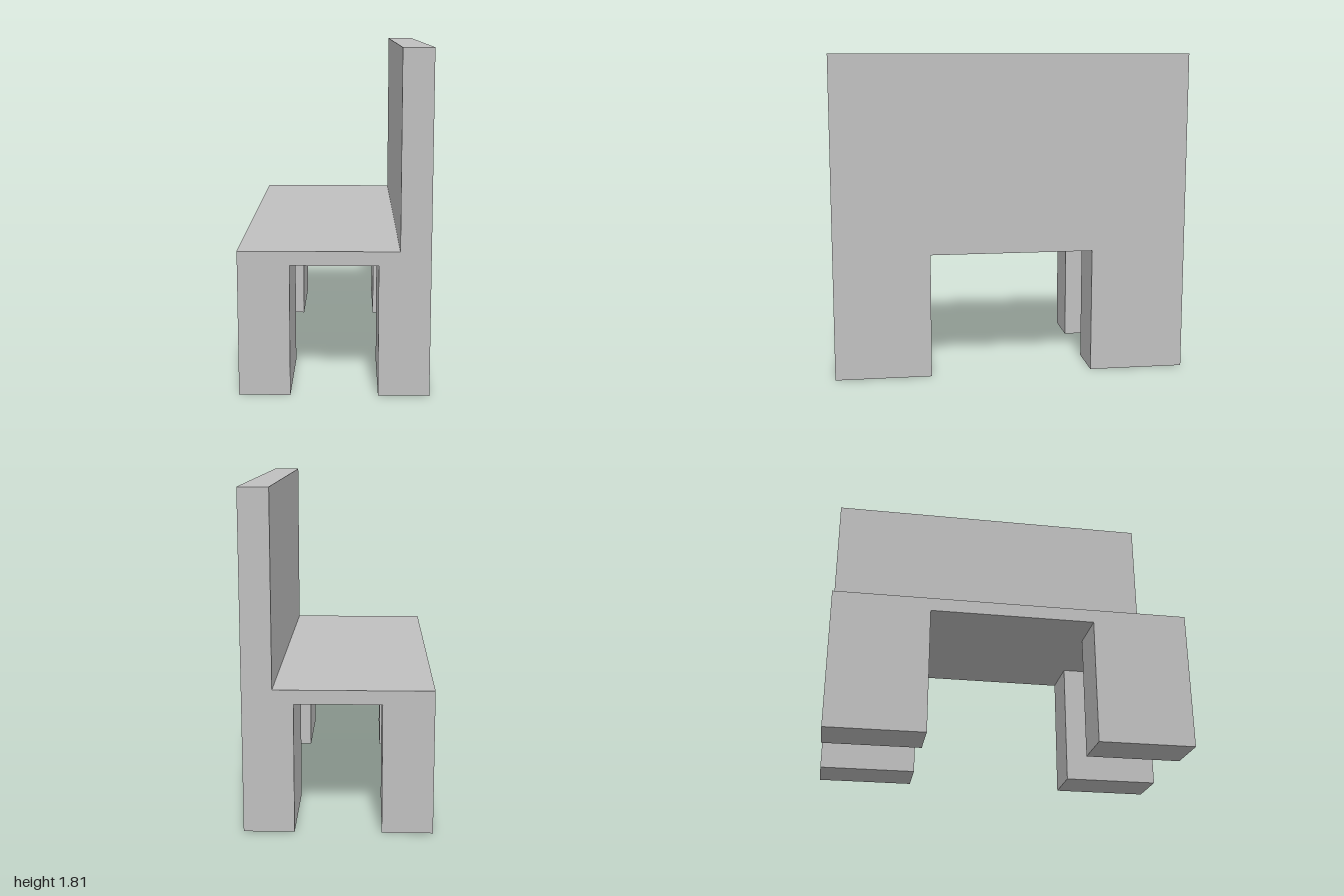
import * as THREE from 'three';

export function createModel() {
  const group = new THREE.Group();
  group.name = 'bench';
  const grey = new THREE.MeshStandardMaterial({ color: 0xc0c0c0 });
  grey.name = 'light grey';

  // Box given by its lower and upper corners
  function block(name, [x0, y0, z0], [x1, y1, z1]) {
    const mesh = new THREE.Mesh(new THREE.BoxGeometry(x1 - x0, y1 - y0, z1 - z0), grey);
    mesh.position.set((x0 + x1) / 2, (y0 + y1) / 2, (z0 + z1) / 2);
    mesh.name = name;
    group.add(mesh);
  }

  const seatBottom = 0.7, seatTop = 0.775;

  // Seat slab and the backrest standing flush on its +x edge
  block('seat', [-0.5, seatBottom, -1], [0.5, seatTop, 1]);
  block('backrest', [0.34, seatTop, -1], [0.5, 1.81, 1]);

  // Four thick legs, flush with the corners
  for (const [side, x] of [['right', -0.5], ['left', 0.23]]) {
    for (const [end, z] of [['Front', 0.46], ['Back', -1]]) {
      block(`${side}${end}Leg`, [x, 0, z], [x + 0.27, seatBottom, z + 0.54]);
    }
  }
  return group;
}
